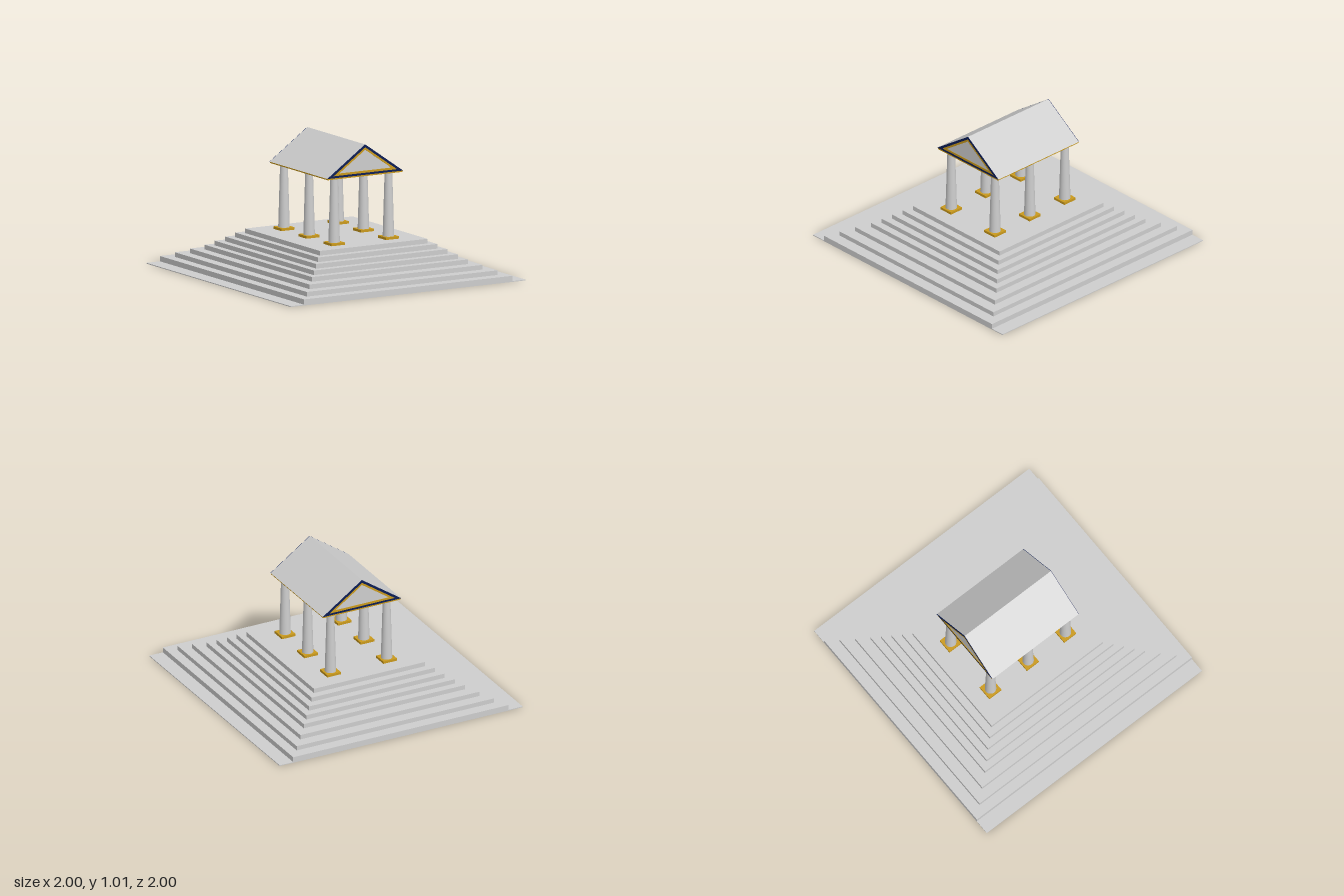
import * as THREE from 'three';

export function createModel() {
  const mat = (name, color) => {
    const m = new THREE.MeshStandardMaterial({ color });
    m.name = name;
    return m;
  };
  const stone = mat('pale stone', 0xcdcdcd);
  const gold = mat('gold', 0xc9991c);
  const navy = mat('navy blue', 0x0b1d55);

  const model = new THREE.Group();
  model.name = 'temple';
  const add = (name, geometry, material, x = 0, y = 0, z = 0, parent = model) => {
    const mesh = new THREE.Mesh(geometry, material);
    mesh.name = name;
    mesh.position.set(x, y, z);
    parent.add(mesh);
    return mesh;
  };

  // Thin ground slab
  add('groundSlab', new THREE.BoxGeometry(2, 0.006, 2), stone, 0, 0.003, 0);

  // Stepped platform: half width, half depth, top height
  const steps = [
    [0.887, 1.0, 0.045], [0.812, 0.915, 0.079], [0.737, 0.83, 0.113], [0.663, 0.745, 0.147],
    [0.612, 0.688, 0.181], [0.558, 0.632, 0.215], [0.507, 0.575, 0.249], [0.457, 0.518, 0.283],
  ];
  let bottom = 0.006;
  steps.forEach(([hx, hz, top], i) => {
    add(`step${i + 1}`, new THREE.BoxGeometry(hx * 2, top - bottom, hz * 2), stone,
      0.002, (top + bottom) / 2, 0);
    bottom = top;
  });

  // Six tapered columns on gold plinths
  const plinth = new THREE.BoxGeometry(0.112, 0.018, 0.112);
  const shaft = new THREE.CylinderGeometry(0.028, 0.042, 0.473, 32);
  for (const x of [-0.23, 0.232]) {
    for (const z of [-0.347, 0.002, 0.349]) {
      const column = new THREE.Group();
      column.name = 'column';
      column.position.set(x, 0, z);
      add('plinth', plinth, gold, 0, 0.292, 0, column);
      add('shaft', shaft, stone, 0, 0.5375, 0, column);
      model.add(column);
    }
  }

  // Roof group: gold-edged ceiling, gabled prism and pediment trim
  const roof = new THREE.Group();
  roof.name = 'roof';
  roof.position.x = 0.002;
  model.add(roof);
  add('ceiling', new THREE.BoxGeometry(0.636, 0.01, 0.804),
    [gold, gold, stone, stone, gold, gold], 0, 0.777, 0, roof);

  const triangle = (halfWidth, base, apex, Type = THREE.Shape) =>
    new Type([[-halfWidth, base], [halfWidth, base], [0, apex]].map(p => new THREE.Vector2(...p)));
  const extrude = (shape, depth) =>
    new THREE.ExtrudeGeometry(shape, { depth, bevelEnabled: false });
  const frame = (outer, inner, depth) => {
    const shape = triangle(...outer);
    shape.holes.push(triangle(...inner, THREE.Path));
    return extrude(shape, depth);
  };

  const outer = [0.322, 0.782, 1.006];
  const middle = [0.27, 0.797, 0.985];
  const inner = [0.222, 0.813, 0.967];
  add('gabledRoof', extrude(triangle(...outer), 0.8), stone, 0, 0, -0.4, roof);

  // Blue and gold borders on both gables
  const blueBorder = frame(outer, middle, 0.003);
  const goldBorder = frame(middle, inner, 0.003);
  for (const z of [0.4, -0.403]) {
    add('blueGableBorder', blueBorder, navy, 0, 0, z, roof);
    add('goldGableBorder', goldBorder, gold, 0, 0, z, roof);
  }

  return model;
}
